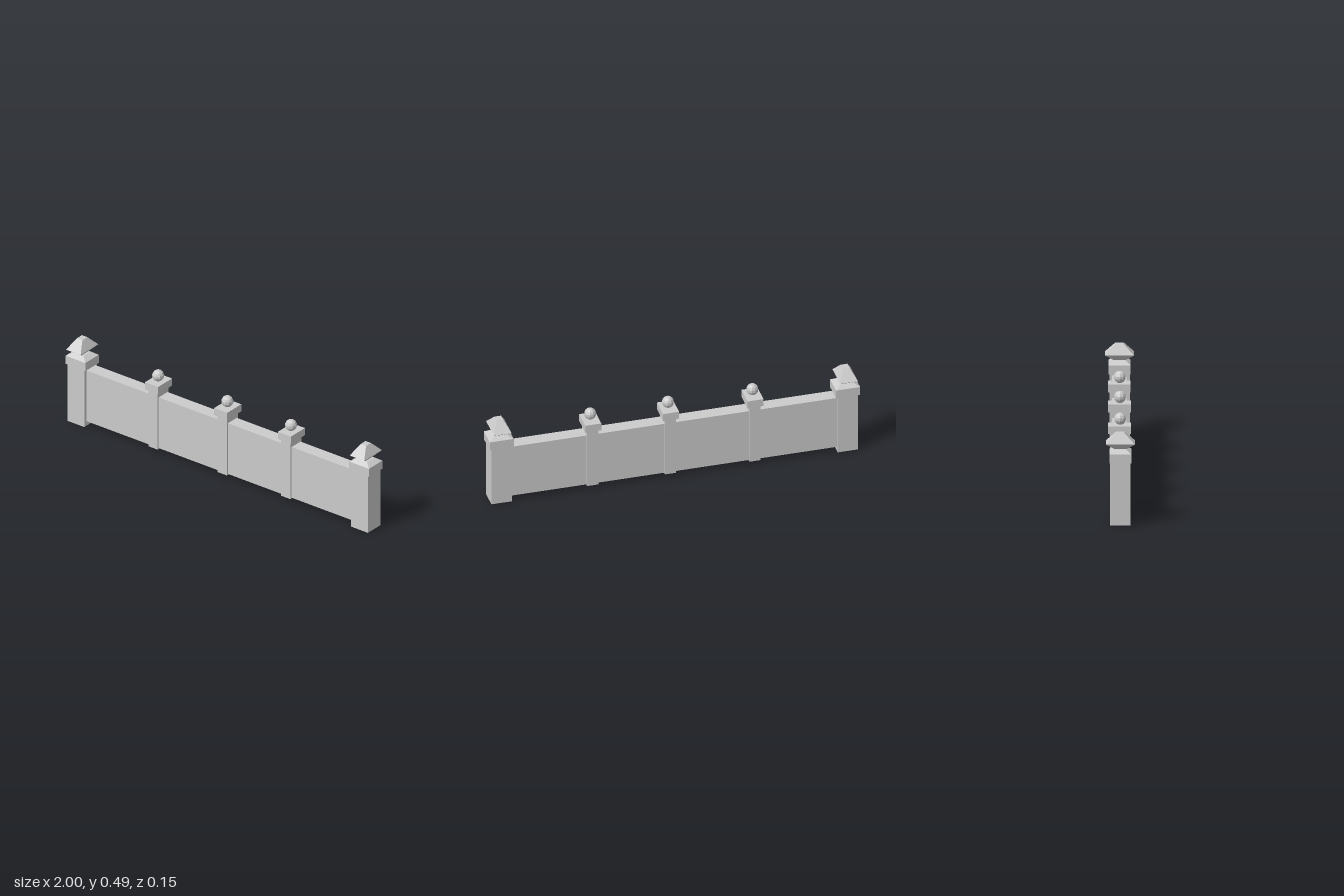
import * as THREE from 'three';

const material = new THREE.MeshStandardMaterial({ color: 0xcccccc, flatShading: true, side: THREE.DoubleSide });

// Rectangular loft: rings of [y, halfWidth, halfDepth], from bottom to top
function loft(rings, closeBottom = true) {
  const corners = [[-1, 1], [1, 1], [1, -1], [-1, -1]];
  const points = [], index = [];
  for (const [y, hx, hz] of rings) {
    for (const [sx, sz] of corners) points.push(sx * hx, y, sz * hz);
  }
  for (let r = 0; r < rings.length - 1; r++) {
    for (let i = 0; i < 4; i++) {
      const a = r * 4 + i, b = r * 4 + (i + 1) % 4;
      index.push(a, b, b + 4, a, b + 4, a + 4);
    }
  }
  const t = (rings.length - 1) * 4;
  index.push(t, t + 1, t + 2, t, t + 2, t + 3);
  if (closeBottom) index.push(0, 2, 1, 0, 3, 2);
  const indexed = new THREE.BufferGeometry();
  indexed.setAttribute('position', new THREE.Float32BufferAttribute(points, 3));
  indexed.setIndex(index);
  const geometry = indexed.toNonIndexed();
  geometry.computeVertexNormals();
  return geometry;
}

function add(parent, name, geometry, x = 0, y = 0, z = 0) {
  const mesh = new THREE.Mesh(geometry, material);
  mesh.name = name;
  mesh.position.set(x, y, z);
  parent.add(mesh);
}

export function createModel() {
  const model = new THREE.Group();
  model.name = 'gardenWall';

  // Long wall between the end posts
  add(model, 'wallPanel', new THREE.BoxGeometry(1.8, 0.3, 0.075), 0, 0.177, -0.003);

  // Large end posts, open underneath, with bevelled caps and pyramid finials
  for (const side of [-1, 1]) {
    const post = new THREE.Group();
    post.name = side < 0 ? 'rightEndPost' : 'leftEndPost';
    post.position.x = side * 0.935;
    add(post, 'endPostShaft', loft([[0, 0.055, 0.053], [0.336, 0.055, 0.053]], false));
    add(post, 'endPostCap', loft([[0.336, 0.065, 0.057], [0.384, 0.065, 0.057], [0.403, 0.033, 0.032]]));
    add(post, 'endPostFinial', loft([[0.403, 0.02, 0.032], [0.433, 0.048, 0.075], [0.488, 0.018, 0.021]]));
    model.add(post);
  }

  // Slim intermediate posts with square caps and faceted balls
  [-0.434, 0.022, 0.442].forEach((x, i) => {
    const post = new THREE.Group();
    post.name = 'middlePost' + (i + 1);
    post.position.x = x;
    add(post, 'middlePostShaft', new THREE.BoxGeometry(0.061, 0.338, 0.094), 0, 0.191, -0.003);
    add(post, 'middlePostCap', new THREE.BoxGeometry(0.086, 0.042, 0.119), 0, 0.381, -0.003);
    add(post, 'ballFinial', new THREE.SphereGeometry(0.032, 10, 7), 0, 0.433, 0);
    model.add(post);
  });

  return model;
}
